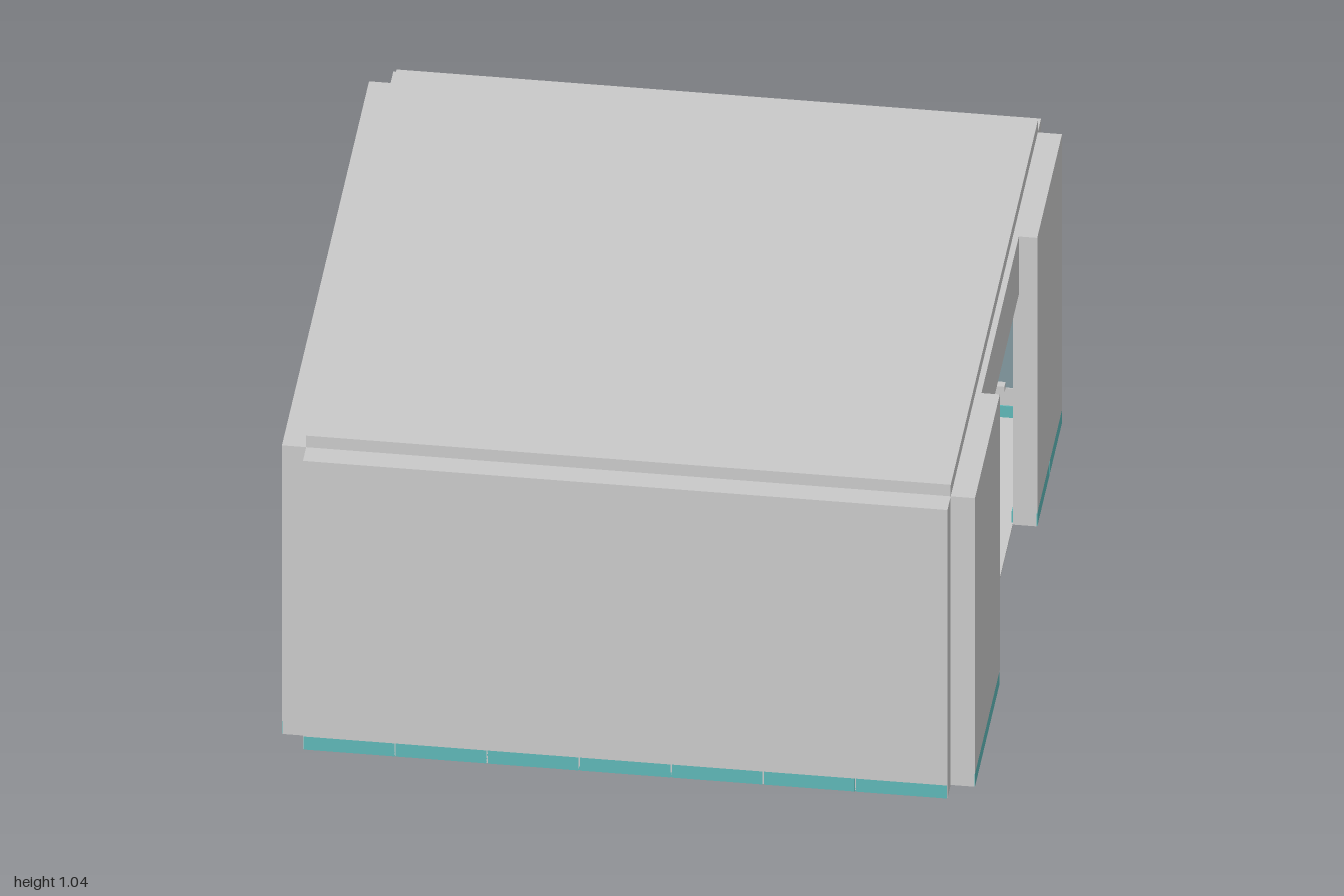
import * as THREE from 'three';

const mat = (color, extra = {}) => new THREE.MeshStandardMaterial({ color, ...extra });
const grey = mat(0xcccccc);
const teal = mat(0x5fb8b8);
const tinted = mat(0x8399a0);
const red = mat(0xe08a74);

// Box from its minimum and maximum corners
function box(parent, name, x0, x1, y0, y1, z0, z1, material = grey) {
  const mesh = new THREE.Mesh(new THREE.BoxGeometry(x1 - x0, y1 - y0, z1 - z0), material);
  mesh.position.set((x0 + x1) / 2, (y0 + y1) / 2, (z0 + z1) / 2);
  mesh.name = name;
  parent.add(mesh);
  return mesh;
}

const IN = 0.93;             // inner face of the walls
const PITCH = 2 * IN / 7;    // width of one bay
const BASE = 0.045;          // height of the skirting
const DOOR = 0.4;            // half width of the doorway

// Straight wall section with an open channel of skirting bays below it
function wallSection(parent, x0, x1, bays) {
  box(parent, 'wallSlab', x0, x1, BASE, 1, IN, 1);
  box(parent, 'channelSkin', x0, x1, 0, BASE, 0.993, 0.998);
  for (const x of [x0, x1 - 0.004]) box(parent, 'channelEnd', x, x + 0.004, 0, BASE, IN, 0.998);
  const w = (x1 - x0) / bays;
  for (let i = 0; i < bays; i++) {
    const a = x0 + i * w;
    box(parent, 'outerSkirting', a + 0.002, a + w - 0.002, 0, BASE, 0.998, 1, teal);
    box(parent, 'innerSkirting', a + 0.002, a + w - 0.002, 0, BASE, IN - 0.004, IN, teal);
    if (i) box(parent, 'bayDivider', a - 0.003, a + 0.003, 0, BASE, IN, 0.998, teal);
  }
  box(parent, 'upperStrip', x0, x1, 0.735, 0.76, IN - 0.004, IN, teal);
}

// Framed display panel standing just off the wall
function displayPanel(parent, cx) {
  const g = new THREE.Group();
  g.name = 'displayPanel';
  g.position.x = cx;
  box(g, 'screen', -0.12, 0.12, 0.125, 0.49, 0.9, 0.91, tinted);
  box(g, 'backing', -0.13, 0.13, 0.12, 0.5, 0.91, 0.92);
  for (const s of [-1, 1]) box(g, 'sidePost', s * 0.13 - 0.004, s * 0.13 + 0.004, 0.11, 0.51, 0.895, 0.925);
  for (const y of [0.118, 0.492]) box(g, 'rail', -0.13, 0.13, y, y + 0.01, 0.897, 0.92);
  box(g, 'controlShelf', -0.045, 0.045, 0.125, 0.147, 0.875, 0.9);
  parent.add(g);
}

function fullWall(name, angle) {
  const g = new THREE.Group();
  g.name = name;
  wallSection(g, -IN, IN, 7);
  box(g, 'lowerStrip', -IN, IN, 0.145, 0.18, IN - 0.004, IN, teal);
  for (const x of [-0.8, -0.4, 0, 0.4, 0.8]) displayPanel(g, x * 0.995);
  g.rotation.y = angle;
  return g;
}

function doorWall(angle) {
  const g = new THREE.Group();
  g.name = 'doorWall';
  wallSection(g, -IN, -DOOR, 2);
  wallSection(g, DOOR, IN, 2);
  box(g, 'lintel', -DOOR, DOOR, 0.8, 1, IN, 0.947);
  g.rotation.y = angle;
  return g;
}

// Roof slab with a grid of ceiling beams underneath
function roof() {
  const g = new THREE.Group();
  g.name = 'roof';
  box(g, 'roofSlab', -IN, IN, 1, 1.04, -IN, IN);
  for (let i = 0; i <= 7; i++) {
    const p = THREE.MathUtils.clamp(-IN + i * PITCH, -IN + 0.012, IN - 0.012);
    box(g, 'ceilingBeam', p - 0.012, p + 0.012, 0.965, 1, -IN, IN);
    box(g, 'ceilingCrossBeam', -IN, IN, 0.967, 1, p - 0.012, p + 0.012);
  }
  return g;
}

// Floor slab with an inlaid square of thin strips
function floor() {
  const g = new THREE.Group();
  g.name = 'floor';
  box(g, 'floorSlab', -IN, IN, 0, 0.006, -IN, IN);
  const r = 0.667;
  for (const s of [-1, 1]) {
    box(g, 'floorStrip', -r, r, 0.006, 0.008, s * r - 0.008, s * r + 0.008, teal);
    box(g, 'floorStrip', s * r - 0.008, s * r + 0.008, 0.006, 0.008, -r, r, teal);
  }
  return g;
}

// Pendant lamp at the centre of the ceiling
function lamp() {
  const g = new THREE.Group();
  g.name = 'pendantLamp';
  const rod = new THREE.Mesh(new THREE.CylinderGeometry(0.004, 0.004, 0.27, 8), grey);
  rod.name = 'lampRod';
  rod.position.y = 0.865;
  const shade = new THREE.Mesh(new THREE.ConeGeometry(0.026, 0.045, 16, 1, true),
    mat(0xcccccc, { side: THREE.DoubleSide }));
  shade.name = 'lampShade';
  shade.position.y = 0.7125;
  g.add(rod, shade);
  return g;
}

export function createModel() {
  const model = new THREE.Group();
  model.name = 'exhibitionRoom';
  model.add(
    floor(), roof(), lamp(),
    fullWall('frontWall', 0),
    fullWall('backWall', Math.PI),
    fullWall('rightWall', -Math.PI / 2),
    doorWall(Math.PI / 2),
  );
  // Small sign on the wall facing the doorway
  box(model, 'wallSign', -IN, -IN + 0.02, 0.602, 0.625, -0.025, 0.025, red);
  return model;
}
